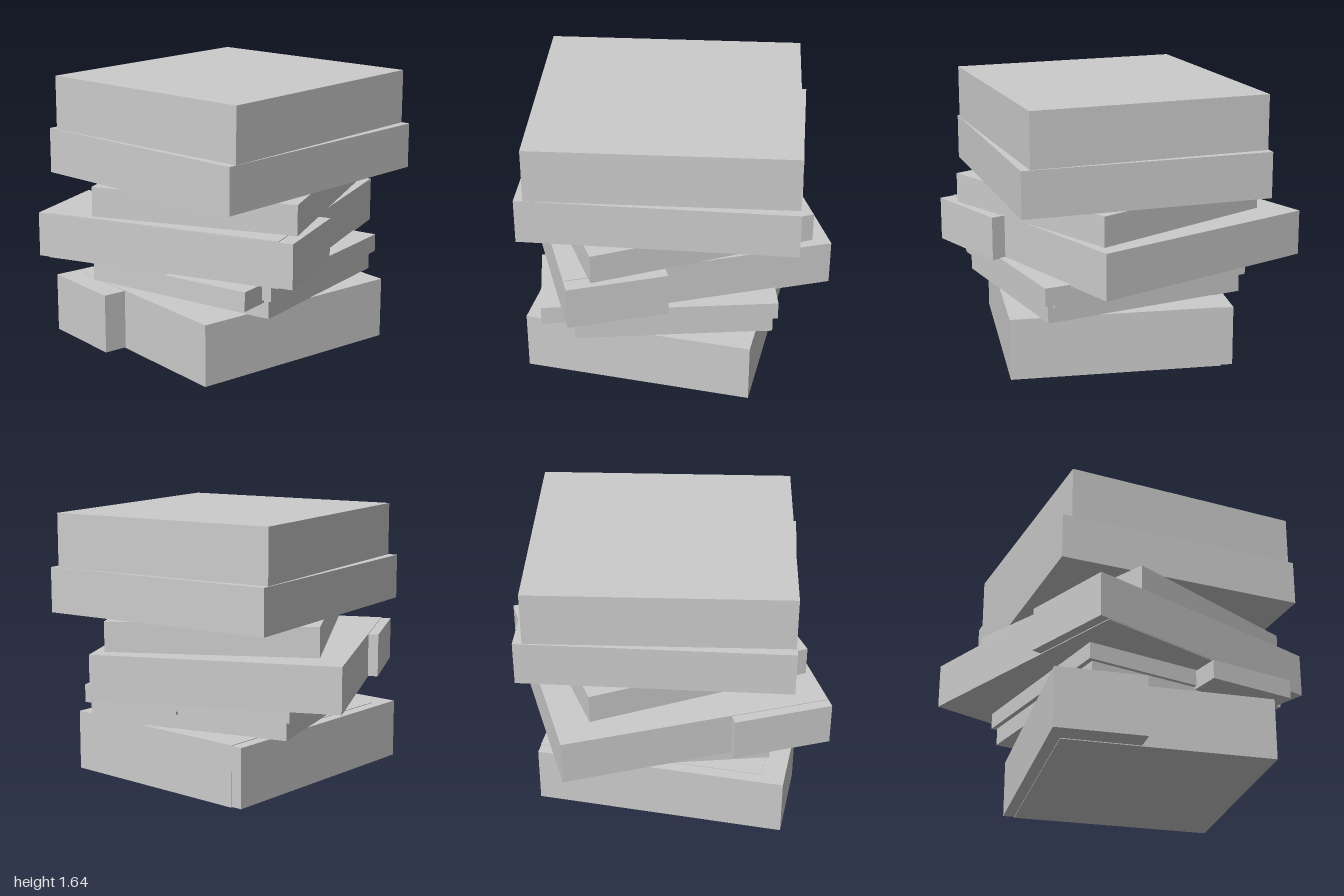
import * as THREE from 'three';

const material = new THREE.MeshStandardMaterial({ color: 0xcccccc, flatShading: true });

// Box given by its min/max extents in the local frame of its layer
function block(name, [x0, x1], [y0, y1], [z0, z1]) {
  const mesh = new THREE.Mesh(new THREE.BoxGeometry(x1 - x0, y1 - y0, z1 - z0), material);
  mesh.position.set((x0 + x1) / 2, (y0 + y1) / 2, (z0 + z1) / 2);
  mesh.name = name;
  return mesh;
}

// One layer of the stack, turned about the vertical axis
function layer(name, angle, x, z, ...blocks) {
  const group = new THREE.Group();
  group.name = name;
  group.rotation.y = angle;
  group.position.set(x, 0, z);
  group.add(...blocks);
  return group;
}

export function createModel() {
  const model = new THREE.Group();
  model.name = 'boxStack';
  model.add(
    // thick base box with a wider block across its back
    layer('bottomBox', -0.175, 0, 0,
      block('bottomBoxBody', [-0.702, 0.675], [0, 0.37], [-0.52, 0.74]),
      block('bottomBoxSideBlock', [-0.846, 0.673], [0.005, 0.366], [-0.59, -0.055])),
    // two thin slabs
    layer('lowerSlab', 0.124, 0.005, 0.092,
      block('lowerSlabBody', [-0.587, 0.587], [0.368, 0.477], [-0.64, 0.64])),
    layer('upperSlab', 0.124, 0, 0,
      block('upperSlabBody', [-0.613, 0.606], [0.48, 0.59], [-0.575, 0.76]),
      block('upperSlabSideBlock', [-0.79, 0.605], [0.46, 0.575], [0.146, 0.7])),
    // widest box with a deeper block at its right end
    layer('wideBox', 0.303, 0, 0,
      block('wideBoxBody', [-0.783, 0.826], [0.58, 0.855], [-0.78, 0.698]),
      block('wideBoxEndBlock', [-0.786, -0.189], [0.585, 0.851], [-0.842, 0.787])),
    // plain boxes on top
    layer('middleBox', 0.389, 0.0125, 0.0675,
      block('middleBoxBody', [-0.686, 0.686], [0.853, 1.035], [-0.629, 0.629])),
    layer('upperBox', -0.034, 0.0125, 0.065,
      block('upperBoxBody', [-0.808, 0.808], [1.035, 1.31], [-0.748, 0.748])),
    layer('topBox', 0, 0.0125, 0.0675,
      block('topBoxBody', [-0.778, 0.778], [1.31, 1.637], [-0.718, 0.718]))
  );
  return model;
}
